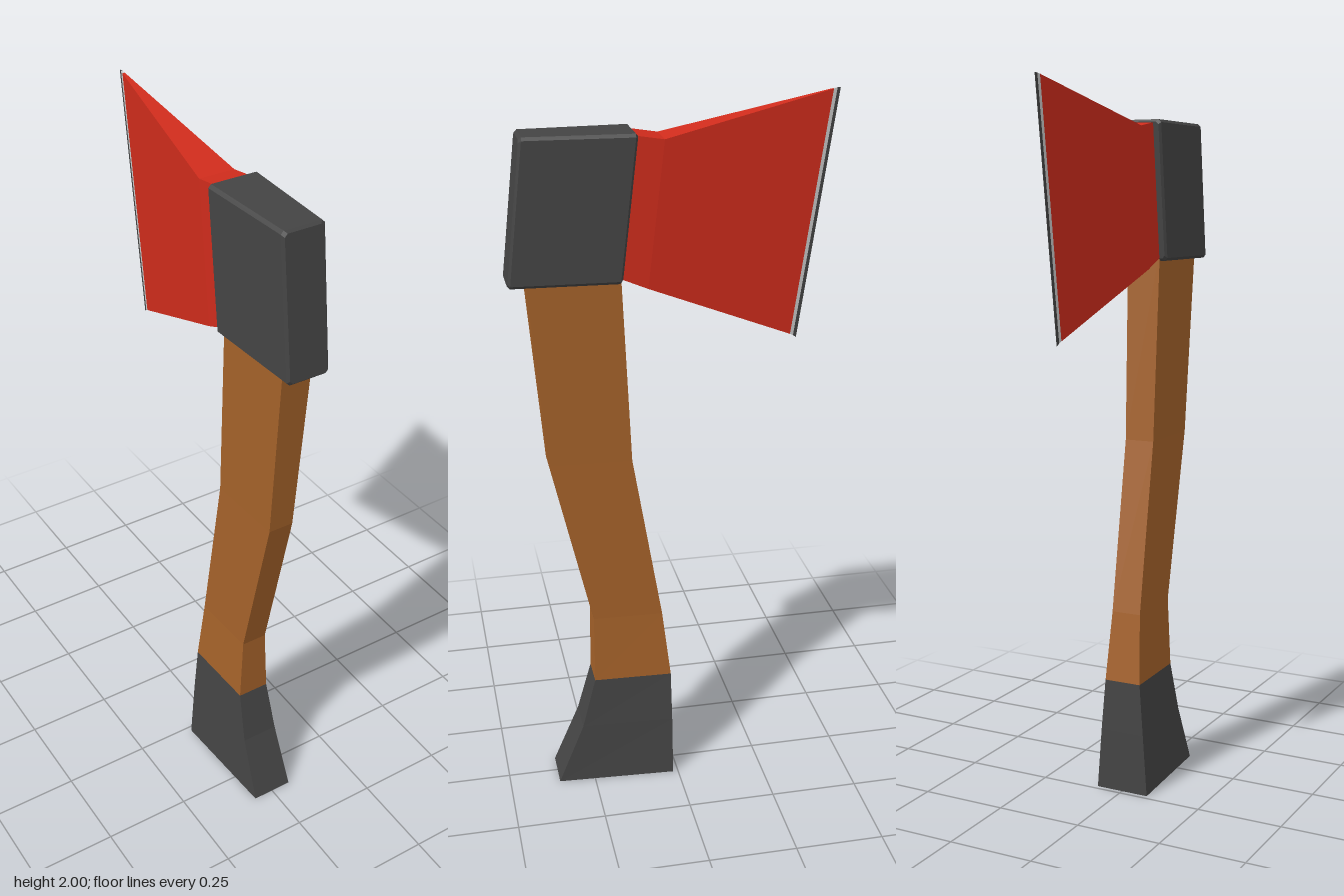
import * as THREE from 'three';

const paint = (color) => new THREE.MeshStandardMaterial({ color, flatShading: true });

// Skins a list of equal-length rings with flat quads and caps both ends.
// Each ring runs counter-clockwise about the direction of travel.
function loft(name, rings, material) {
  const pos = [];
  const tri = (a, b, c) => pos.push(...a, ...b, ...c);
  const n = rings[0].length;
  for (let r = 0; r < rings.length - 1; r++) {
    const a = rings[r], b = rings[r + 1];
    for (let i = 0; i < n; i++) {
      const j = (i + 1) % n;
      tri(a[i], a[j], b[j]);
      tri(a[i], b[j], b[i]);
    }
  }
  const first = rings[0], last = rings[rings.length - 1];
  for (let i = 1; i < n - 1; i++) {
    tri(first[0], first[i + 1], first[i]);
    tri(last[0], last[i], last[i + 1]);
  }
  const geometry = new THREE.BufferGeometry();
  geometry.setAttribute('position', new THREE.Float32BufferAttribute(pos, 3));
  geometry.computeVertexNormals();
  const mesh = new THREE.Mesh(geometry, material);
  mesh.name = name;
  return mesh;
}

// Horizontal handle section: narrower at the front than at the back
const handleRing = ([y, zFront, zBack, wFront, wBack]) => [
  [wFront, y, zFront], [wBack, y, zBack], [-wBack, y, zBack], [-wFront, y, zFront],
];

// Upright blade section between a top and a bottom point
const bladeRing = ([yTop, zTop, yBottom, zBottom, w]) => [
  [w, yTop, zTop], [w, yBottom, zBottom], [-w, yBottom, zBottom], [-w, yTop, zTop],
];

// Slanted head section with chamfered corners; inset shrinks it for the end bevels
function headRing([zTop, w, inset]) {
  const c = 0.008, top = 1.915 - inset, bottom = 1.53 + inset, x = w - inset;
  return [
    [x - c, top], [x, top - c], [x, bottom + c], [x - c, bottom],
    [c - x, bottom], [-x, bottom + c], [-x, top - c], [c - x, top],
  ].map(([px, py]) => [px, py, zTop + (0.045 * (1.915 - py)) / 0.385]);
}

export function createModel() {
  const model = new THREE.Group();
  model.name = 'axe';
  const dark = paint(0x444444), wood = paint(0xa5622a), red = paint(0xd02c1c), steel = paint(0xcccccc);

  // Flared grip at the foot: y, front z, back z, front and back half widths
  model.add(loft('grip', [
    [0, 0.355, 0.015, 0.06, 0.08],
    [0.18, 0.28, 0.015, 0.054, 0.067],
    [0.33, 0.24, 0.017, 0.046, 0.055],
  ].map(handleRing), dark));

  // Curved wooden handle, its top hidden in the head
  model.add(loft('handle', [
    [0.33, 0.24, 0.017, 0.046, 0.055],
    [0.53, 0.238, 0.04, 0.037, 0.044],
    [1.02, 0.35, 0.122, 0.036, 0.044],
    [1.56, 0.395, 0.147, 0.043, 0.05],
  ].map(handleRing), wood));

  // Head block, from the poll back to the blade
  model.add(loft('headBlock', [
    [0.398, 0.06, 0.006],
    [0.391, 0.06, 0],
    [0.106, 0.072, 0],
    [0.1, 0.072, 0.006],
  ].map(headRing), dark));

  // Blade: short straight neck, then a wedge flaring to the edge
  model.add(loft('blade', [
    [1.908, 0.11, 1.54, 0.15, 0.05],
    [1.895, 0.03, 1.508, 0.075, 0.05],
    [1.997, -0.422, 1.341, -0.327, 0.0035],
  ].map(bladeRing), red));

  // Ground bevel and dark cutting edge
  model.add(loft('edgeBevel', [
    [1.997, -0.422, 1.341, -0.327, 0.0035],
    [1.999, -0.432, 1.336, -0.336, 0.002],
  ].map(bladeRing), steel));
  model.add(loft('cuttingEdge', [
    [1.999, -0.432, 1.336, -0.336, 0.002],
    [2, -0.441, 1.33, -0.345, 0.0005],
  ].map(bladeRing), dark));

  return model;
}
